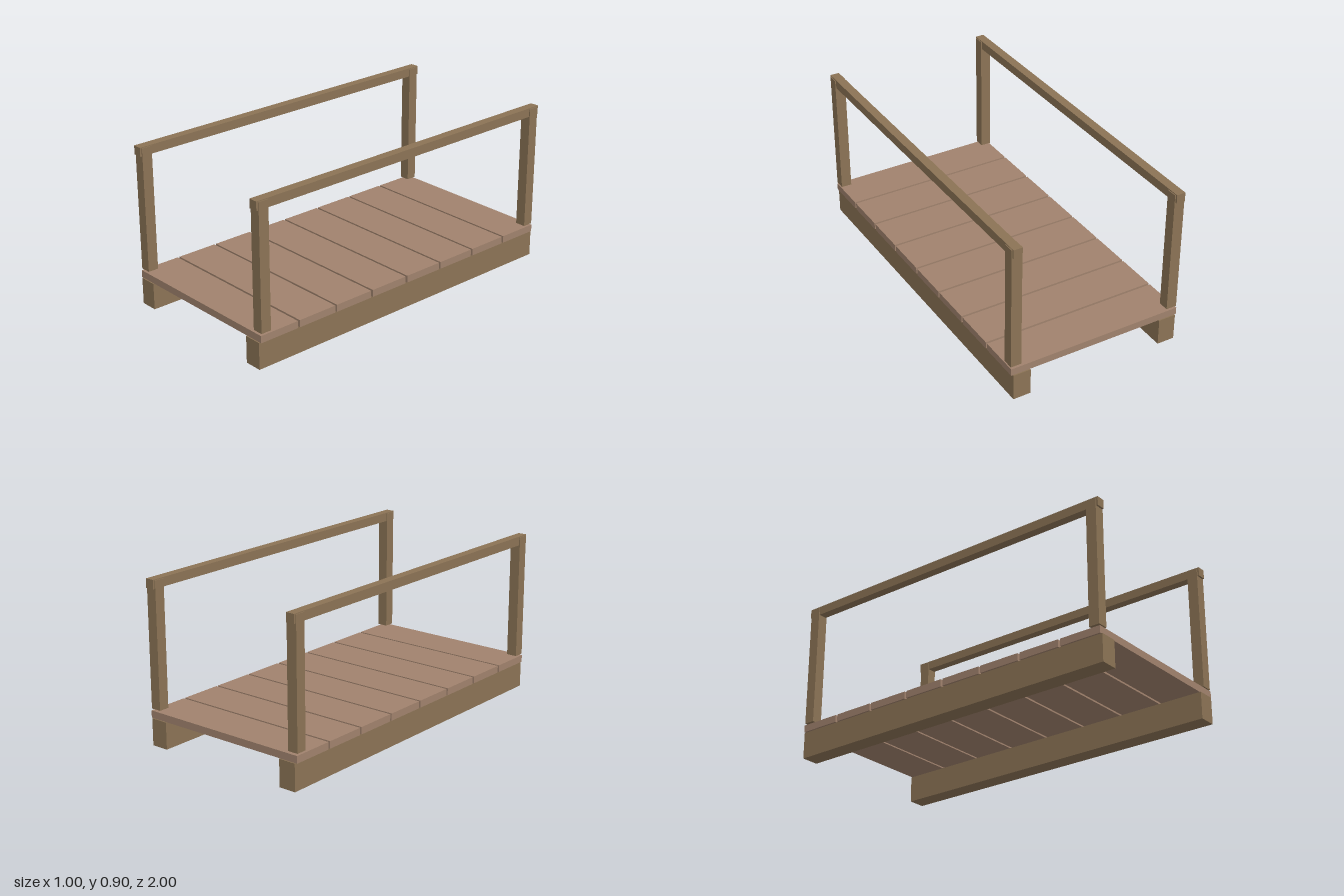
import * as THREE from 'three';

export function createModel() {
  const group = new THREE.Group();
  const darkWood = new THREE.MeshStandardMaterial({ color: 0x8b7355 });
  const lightWood = new THREE.MeshStandardMaterial({ color: 0xa0826d });

  const addBox = (name, material, [w, h, d], [x, y, z]) => {
    const mesh = new THREE.Mesh(new THREE.BoxGeometry(w, h, d), material);
    mesh.name = name;
    mesh.position.set(x, y, z);
    group.add(mesh);
  };

  // Deck planks laid across the beams with narrow gaps
  const plankCount = 8;
  const pitch = 2 / plankCount;
  for (let i = 0; i < plankCount; i++) {
    const z = (i - (plankCount - 1) / 2) * pitch;
    addBox(`plank${i + 1}`, lightWood, [1, 0.04, 0.2375], [0, 0.17, z]);
  }

  // Each side: support beam, handrail and two end posts
  for (const [side, s] of [['left', 1], ['right', -1]]) {
    addBox(`${side}Beam`, darkWood, [0.1, 0.15, 2], [s * 0.44, 0.075, 0]);
    addBox(`${side}Handrail`, darkWood, [0.05, 0.05, 2], [s * 0.47, 0.88, 0]);
    for (const [end, e] of [['Front', 1], ['Back', -1]]) {
      addBox(`${side}${end}Post`, darkWood, [0.06, 0.7, 0.06], [s * 0.47, 0.55, e * 0.96]);
    }
  }

  return group;
}
